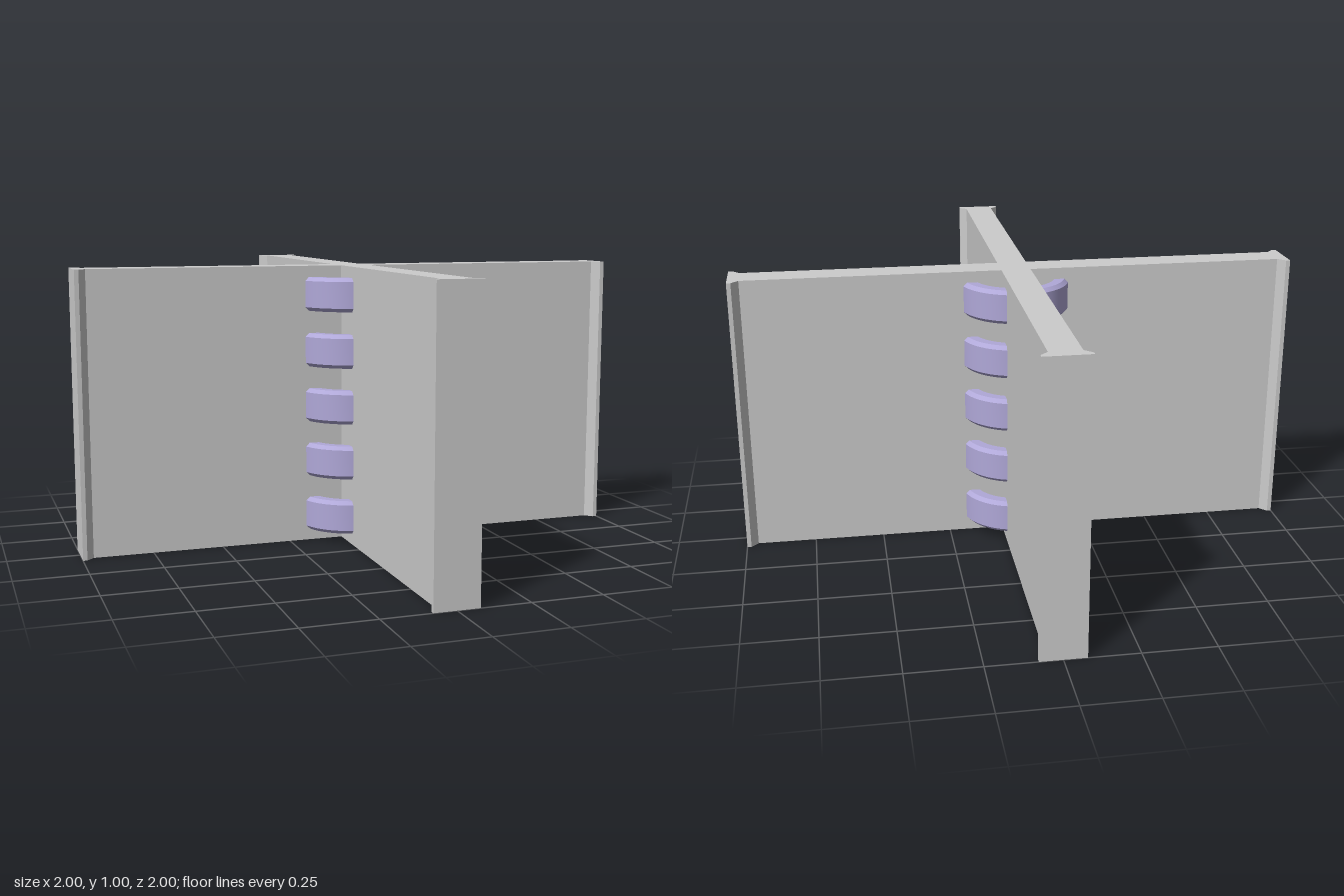
import * as THREE from 'three';
import { toCreasedNormals } from 'three/addons/utils/BufferGeometryUtils.js';

export function createModel() {
  const model = new THREE.Group();
  const grey = new THREE.MeshStandardMaterial({ color: 0xcccccc });
  const lilac = new THREE.MeshStandardMaterial({ color: 0xb0a8d8 });

  // Crossed panels: one arm's outline with a flared end, turned four times
  const arm = [[0.052, -0.052], [0.96, -0.052], [0.985, -0.078], [1, -0.078],
    [1, 0.078], [0.985, 0.078], [0.96, 0.052]];
  const outline = [];
  for (let i = 0; i < 4; i++) {
    for (const [x, y] of arm) {
      outline.push(new THREE.Vector2(x, y).rotateAround(new THREE.Vector2(), i * Math.PI / 2));
    }
  }
  const panelGeometry = new THREE.ExtrudeGeometry(new THREE.Shape(outline), { depth: 1, bevelEnabled: false });
  panelGeometry.rotateX(-Math.PI / 2);
  const panels = new THREE.Mesh(panelGeometry, grey);
  panels.name = 'crossedPanels';
  model.add(panels);

  // Binding rings: chamfered band revolved around the crossing
  const inner = 0.134, outer = 0.194, half = 0.06, c = 0.013;
  const profile = [
    [inner + c, -half], [outer - c, -half], [outer, c - half], [outer, half - c],
    [outer - c, half], [inner + c, half], [inner, half - c], [inner, c - half],
    [inner + c, -half],
  ].map(([r, y]) => new THREE.Vector2(r, y));
  const ringGeometry = toCreasedNormals(new THREE.LatheGeometry(profile, 64), Math.PI / 6);
  const rings = new THREE.Group();
  rings.name = 'bindingRings';
  for (let i = 0; i < 5; i++) {
    const ring = new THREE.Mesh(ringGeometry, lilac);
    ring.name = `ring${i + 1}`;
    ring.position.y = 0.1 + i * 0.2;
    rings.add(ring);
  }
  model.add(rings);

  return model;
}
